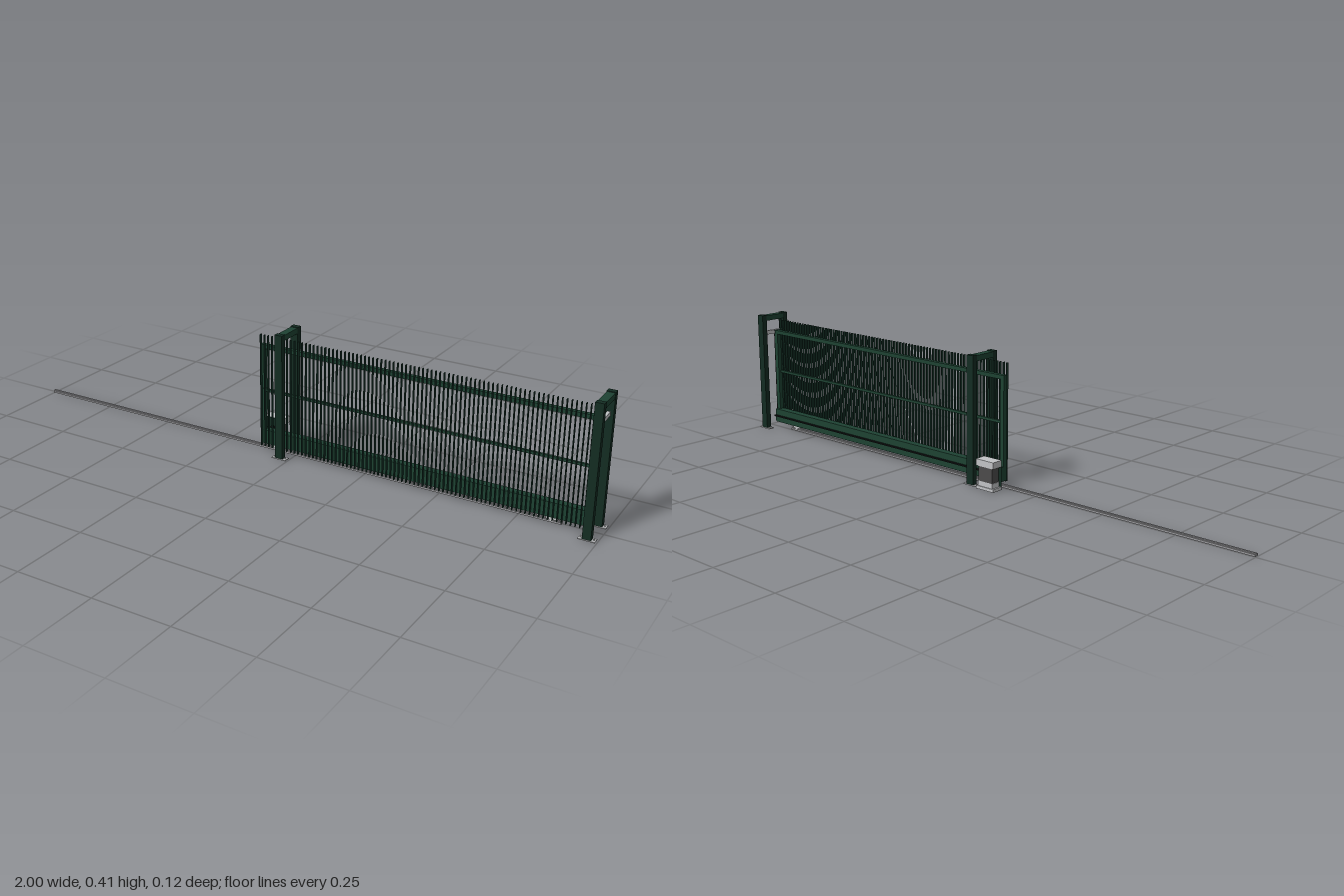
import * as THREE from 'three';

const mat = (name, color) => {
  const m = new THREE.MeshStandardMaterial({ color });
  m.name = name;
  return m;
};

export function createModel() {
  const root = new THREE.Group();
  root.name = 'slidingGate';
  const green = mat('frame green', 0x1d4232);
  const slatGreen = mat('slat green', 0x17352a);
  const postGreen = mat('post green', 0x132c22);
  const steel = mat('galvanised steel', 0xc2c4c6);
  const trackGrey = mat('track grey', 0x98989b);
  const darkGrey = mat('motor grey', 0x4c4b4b);
  const black = mat('black', 0x121615);

  // Box given by its min and max along each axis
  const box = (parent, name, m, x0, x1, y0, y1, z0, z1) => {
    const mesh = new THREE.Mesh(new THREE.BoxGeometry(x1 - x0, y1 - y0, z1 - z0), m);
    mesh.position.set((x0 + x1) / 2, (y0 + y1) / 2, (z0 + z1) / 2);
    mesh.name = name;
    parent.add(mesh);
  };
  // Cylinder lying along z
  const disc = (parent, name, m, r, x, y, z0, z1) => {
    const mesh = new THREE.Mesh(new THREE.CylinderGeometry(r, r, z1 - z0, 20), m);
    mesh.rotation.x = Math.PI / 2;
    mesh.position.set(x, y, (z0 + z1) / 2);
    mesh.name = name;
    parent.add(mesh);
  };
  const group = (name) => {
    const g = new THREE.Group();
    g.name = name;
    root.add(g);
    return g;
  };

  // Ground track with a raised running ridge
  const track = group('track');
  box(track, 'trackPlate', trackGrey, -1, 0.88, 0.002, 0.008, -0.003, 0.012);
  box(track, 'trackRidge', trackGrey, -1, 0.88, 0.008, 0.011, 0.002, 0.007);

  // Moving leaf frame
  const leaf = group('gateLeaf');
  const L = -0.122, R = 0.957;
  box(leaf, 'bottomBeam', green, L, R, 0.02, 0.067, -0.009, 0.017);
  box(leaf, 'topRail', green, L, R, 0.341, 0.354, 0.001, 0.016);
  box(leaf, 'middleRail', green, L, R, 0.2, 0.2085, 0.01, 0.018);
  for (const x of [L, R - 0.014]) {
    box(leaf, 'endUpright', green, x, x + 0.014, 0.067, 0.341, 0.001, 0.016);
  }
  // Dark strip on the closing edge
  box(leaf, 'closingEdge', black, R, R + 0.004, 0.067, 0.341, 0.001, 0.016);

  // Thin slats in front of the rails
  const count = 80, step = (R - L - 0.012) / (count - 1);
  const slatGeo = new THREE.BoxGeometry(0.002, 0.375, 0.009);
  const slats = new THREE.Group();
  slats.name = 'slats';
  for (let i = 0; i < count; i++) {
    const s = new THREE.Mesh(slatGeo, slatGreen);
    s.name = 'slat';
    s.position.set(L + 0.006 + i * step, 0.2025, 0.0232);
    slats.add(s);
  }
  leaf.add(slats);
  // Drive rack
  box(leaf, 'rack', black, L, R, 0.041, 0.045, -0.017, -0.009);
  // Running wheels in their housings
  for (const x of [-0.07, 0.85]) {
    box(leaf, 'wheelHousing', steel, x - 0.018, x + 0.018, 0.011, 0.02, -0.003, 0.012);
    disc(leaf, 'wheel', steel, 0.008, x, 0.014, -0.0035, 0.0125);
  }

  // Portals: paired posts, base plates and a cross beam
  for (const x of [-0.03, 0.97]) {
    const portal = group(x < 0 ? 'guidePortal' : 'catchPortal');
    for (const z of [0.051, -0.042]) {
      box(portal, 'post', postGreen, x - 0.013, x + 0.013, 0.003, 0.412, z - 0.009, z + 0.009);
      box(portal, 'basePlate', steel, x - 0.025, x + 0.025, 0, 0.003, z - 0.011, z + 0.011);
      for (const sx of [-1, 1]) {
        box(portal, 'anchorBolt', steel, x + sx * 0.019 - 0.002, x + sx * 0.019 + 0.002,
          0.003, 0.006, z - 0.002, z + 0.002);
      }
    }
    box(portal, 'crossBeam', green, x - 0.012, x + 0.012, 0.392, 0.41, -0.033, 0.042);
  }
  // Catch bracket that receives the top rail
  const bracket = group('catchBracket');
  box(bracket, 'catchBar', steel, 0.964, 0.974, 0.341, 0.354, -0.033, 0.042);

  // Drive unit
  const drive = group('driveUnit');
  box(drive, 'drivePlinth', steel, -0.135, -0.065, 0.001, 0.011, -0.061, -0.023);
  box(drive, 'driveBase', steel, -0.129, -0.071, 0.011, 0.027, -0.058, -0.026);
  box(drive, 'driveBody', darkGrey, -0.127, -0.073, 0.027, 0.075, -0.058, -0.026);
  box(drive, 'driveCover', steel, -0.135, -0.065, 0.075, 0.096, -0.061, -0.023);
  // Green plate facing the leaf
  box(drive, 'driveFrontPlate', postGreen, -0.135, -0.065, 0.001, 0.096, -0.023, -0.0215);
  disc(drive, 'pinion', black, 0.011, -0.1, 0.06, -0.018, -0.014);
  disc(drive, 'pinionShaft', black, 0.005, -0.1, 0.06, -0.0215, -0.018);

  return root;
}
